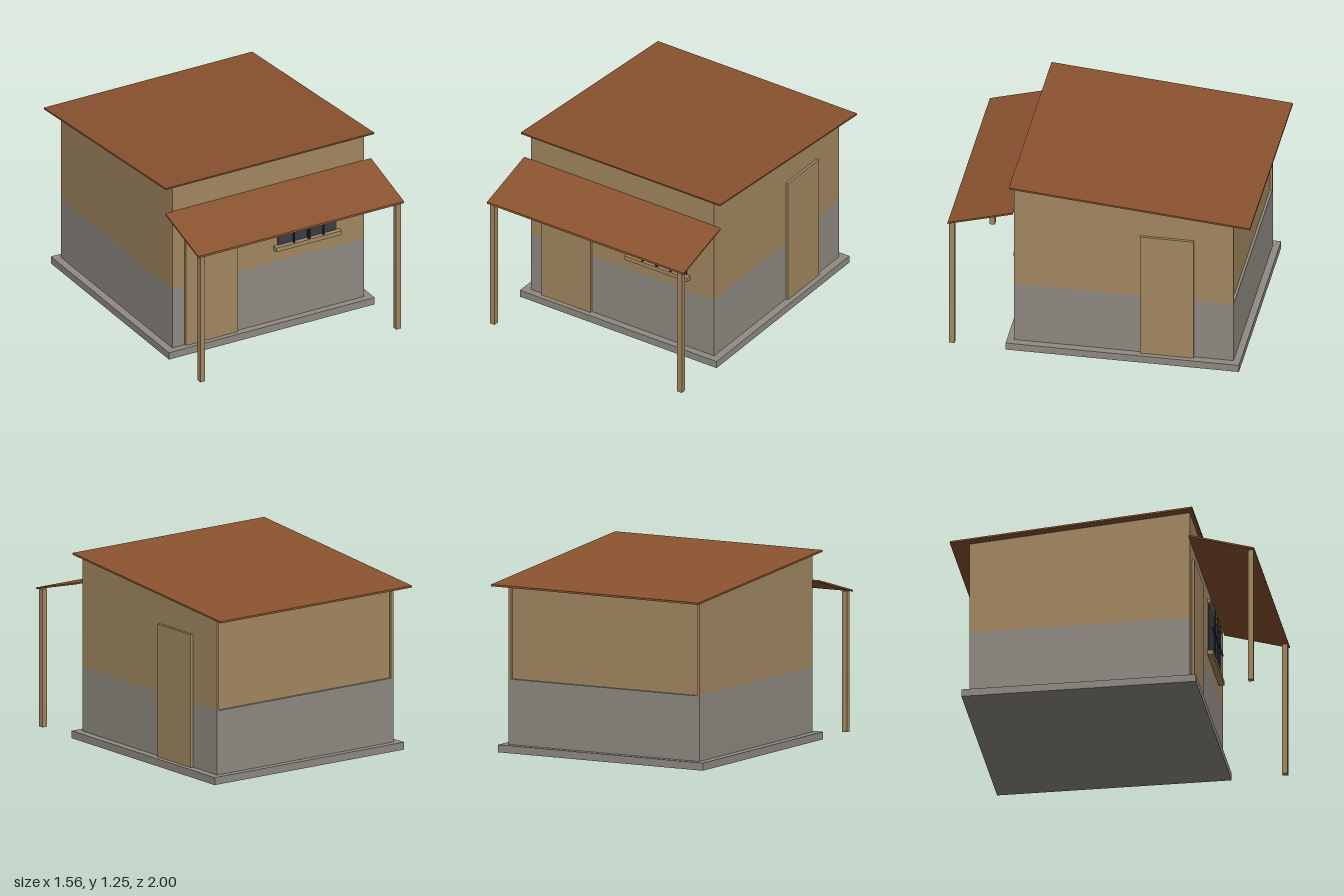
import * as THREE from 'three';

const mat = (name, color) => {
  const m = new THREE.MeshStandardMaterial({ color });
  m.name = name;
  return m;
};

export function createModel() {
  const root = new THREE.Group();
  root.name = 'shed';

  const tan = mat('tanWall', 0xa38861);
  const grey = mat('greyPlinth', 0x908b83);
  const rust = mat('rustRoof', 0x8a532f);
  const glass = mat('darkGlass', 0x383e46);
  const iron = mat('darkIron', 0x2b3038);

  const add = (name, geometry, material, parent = root) => {
    const mesh = new THREE.Mesh(geometry, material);
    mesh.name = name;
    parent.add(mesh);
    return mesh;
  };

  // Box given by its limits on each axis
  const box = (name, material, [x0, x1], [y0, y1], [z0, z1], parent) => {
    const g = new THREE.BoxGeometry(x1 - x0, y1 - y0, z1 - z0);
    g.translate((x0 + x1) / 2, (y0 + y1) / 2, (z0 + z1) / 2);
    return add(name, g, material, parent);
  };

  // Side profile of [z, y] points, extruded along x between x0 and x1
  const profile = (name, material, points, [x0, x1]) => {
    const shape = new THREE.Shape(points.map(([z, y]) => new THREE.Vector2(z, y)));
    const g = new THREE.ExtrudeGeometry(shape, { depth: x1 - x0, bevelEnabled: false });
    g.rotateY(-Math.PI / 2);
    g.translate(x1, 0, 0);
    return add(name, g, material);
  };

  // Underside height of the main roof at depth z
  const roofY = (z) => 1.236 + (z - 0.59) * 0.0855;

  const W = 0.718, FRONT = 0.567, BACK = -0.88, PANEL = -0.863, BAND = 0.48;

  // Floor slab and grey lower walls
  box('floorSlab', grey, [-0.77, 0.77], [0, 0.05], [-0.925, 0.615]);
  box('lowerWalls', grey, [-W, W], [0.05, BAND], [BACK, FRONT]);

  // Tan upper walls, with the back panel set in between the side walls
  const wall = (z0, z1) => [[z0, BAND], [z1, BAND], [z1, roofY(z1)], [z0, roofY(z0)]];
  profile('upperWalls', tan, wall(PANEL, FRONT), [-W, W]);
  profile('rightWallEnd', tan, wall(BACK, PANEL), [-W, -W + 0.018]);
  profile('leftWallEnd', tan, wall(BACK, PANEL), [W - 0.018, W]);

  // Main roof and porch roof sheets
  const T = 0.012;
  profile('mainRoof', rust, [
    [-1, roofY(-1)], [0.59, roofY(0.59)], [0.592, roofY(0.59) + T], [-0.999, roofY(-1) + T],
  ], [-0.78, 0.78]);
  profile('porchRoof', rust, [
    [FRONT, 1.04], [FRONT, 1.052], [0.997, 0.932], [1, 0.92],
  ], [-0.77, 0.77]);

  // Porch posts
  for (const s of [-1, 1]) {
    const x = s * 0.733;
    box(s > 0 ? 'leftPost' : 'rightPost', tan, [x - 0.018, x + 0.018], [0, 0.925], [0.954, 0.99]);
  }

  // Doors
  box('frontDoor', tan, [-0.625, -0.24], [0.05, 0.94], [FRONT - 0.01, 0.583]);
  box('sideDoor', tan, [W - 0.01, 0.736], [0.05, 0.94], [-0.62, -0.265]);

  // Window with two panes, sill, lintel and a grille standing in front
  const win = new THREE.Group();
  win.name = 'window';
  root.add(win);
  box('sill', tan, [0.04, 0.53], [0.57, 0.6], [FRONT - 0.01, 0.605], win);
  box('lintel', tan, [0.04, 0.53], [0.94, 0.965], [FRONT - 0.01, 0.588], win);
  for (const [x0, x1] of [[0.07, 0.285], [0.291, 0.506]]) {
    const mid = (x0 + x1) / 2;
    box('pane', glass, [x0, x1], [0.6, 0.94], [FRONT, 0.574], win);
    box('crossBar', iron, [x0, x1], [0.766, 0.776], [0.593, 0.601], win);
    box('middleBar', iron, [mid - 0.005, mid + 0.005], [0.6, 0.94], [0.593, 0.601], win);
    const edge = x0 < 0.2 ? x1 : x0;
    const inward = x0 < 0.2 ? -0.006 : 0.006;
    box('centreBar', iron, [Math.min(edge, edge + inward), Math.max(edge, edge + inward)],
      [0.6, 0.94], [0.593, 0.601], win);
  }

  return root;
}
